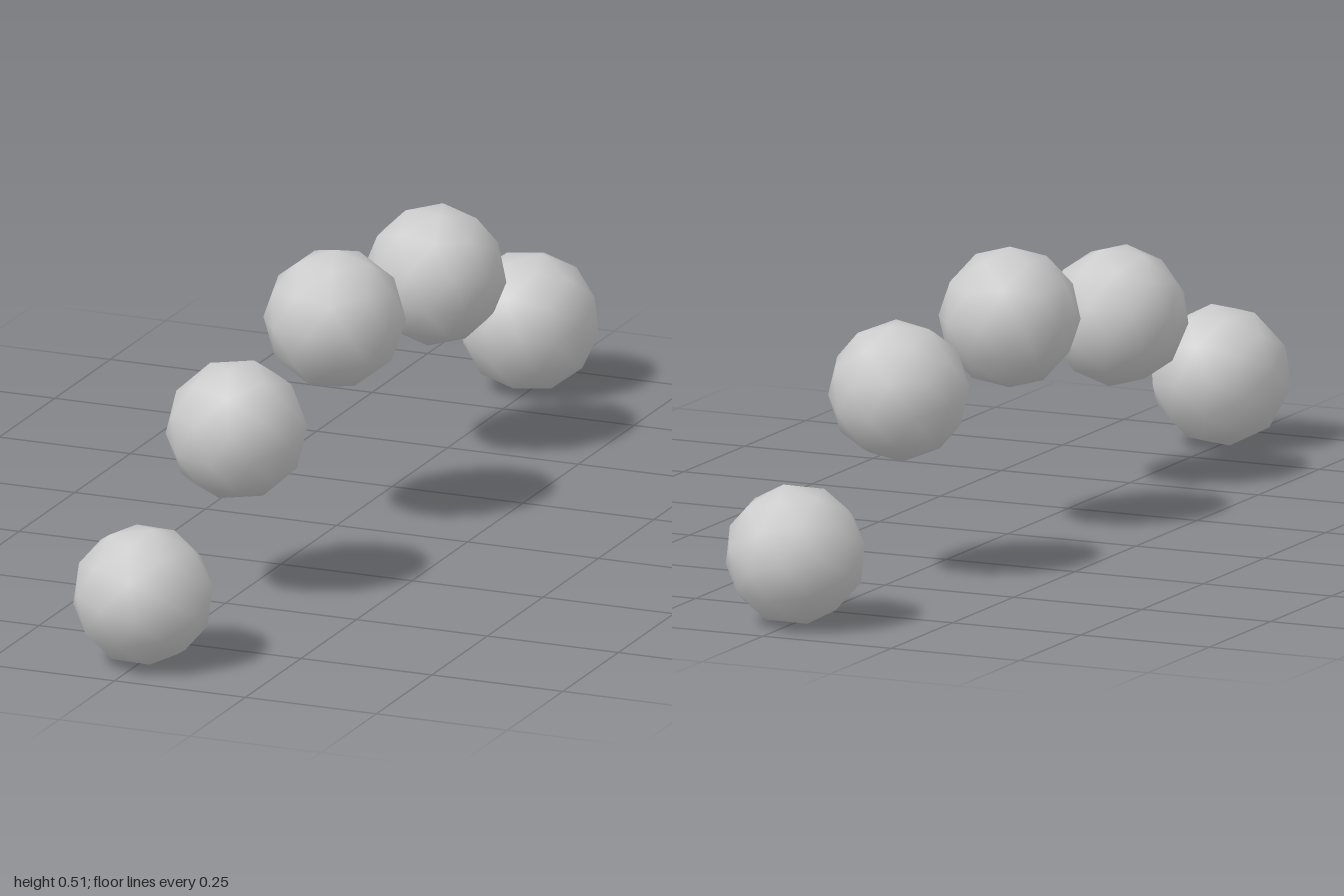
import * as THREE from 'three';

// Five equal balls laid out along an arch, each tilted with the curve.
const RADIUS = 0.126;
const ARC_RADIUS = 1.61;

// centre of each ball, front to back
const CENTRES = [
  [0.003, 0.128, 0.878],
  [0.003, 0.312, 0.457],
  [0.003, 0.39, 0.015],
  [0.003, 0.341, -0.438],
  [-0.005, 0.129, -0.878],
];

export function createModel() {
  const group = new THREE.Group();
  group.name = 'ballArch';
  const material = new THREE.MeshStandardMaterial({ color: 0xcccccc });

  // low-poly smooth ball, turned so that one five-sided corner points up
  const geometry = new THREE.IcosahedronGeometry(RADIUS, 1);
  geometry.rotateZ(-Math.atan(2 / (1 + Math.sqrt(5))));

  CENTRES.forEach(([x, y, z], i) => {
    const ball = new THREE.Mesh(geometry, material);
    ball.name = `ball${i + 1}`;
    ball.position.set(x, y, z);
    ball.rotation.x = Math.asin(z / ARC_RADIUS); // lean outward along the arch
    group.add(ball);
  });
  return group;
}
